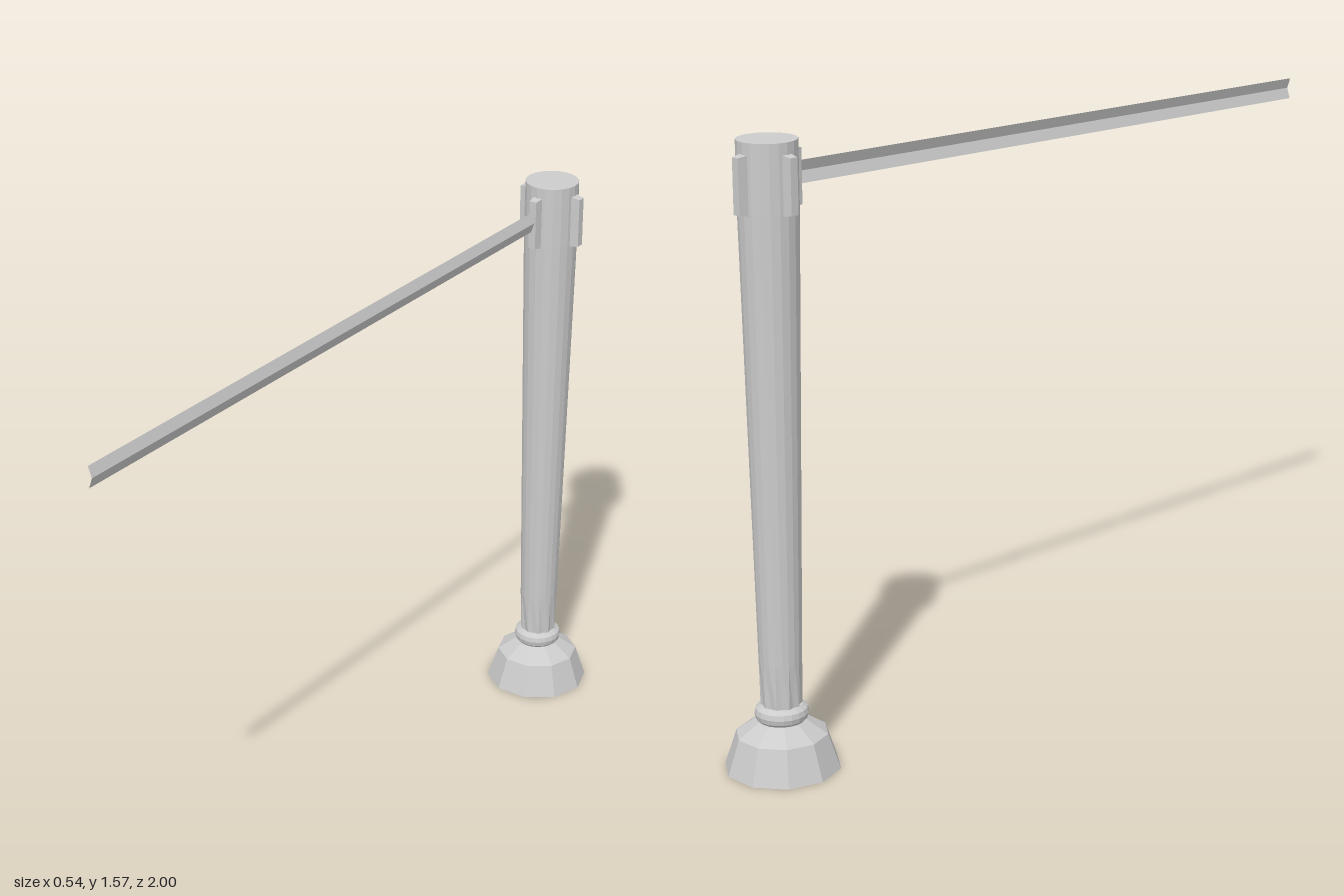
import * as THREE from 'three';

export function createModel() {
  const model = new THREE.Group();
  model.name = 'barrierPost';
  const mat = new THREE.MeshStandardMaterial({ color: 0xcccccc, flatShading: true });
  const thin = new THREE.MeshStandardMaterial({ color: 0xcccccc, side: THREE.DoubleSide, flatShading: true });

  // Everything hangs on the post axis; local +z points along the belt
  const post = new THREE.Group();
  post.name = 'post';
  post.position.set(0.125, 0, -0.857);
  post.rotation.y = -THREE.MathUtils.degToRad(12);
  model.add(post);

  const add = (name, geometry, material = mat) => {
    const mesh = new THREE.Mesh(geometry, material);
    mesh.name = name;
    post.add(mesh);
    return mesh;
  };
  const lathe = (profile, sides) =>
    new THREE.LatheGeometry(profile.map(([r, y]) => new THREE.Vector2(r, y)), sides);

  // Ten-sided weighted foot
  const base = add('base', lathe([[0, 0], [0.145, 0], [0.115, 0.09], [0.062, 0.125], [0, 0.125]], 10));
  base.rotation.y = THREE.MathUtils.degToRad(19);

  // Rounded collar above the foot
  add('collar', lathe([[0.054, 0.12], [0.064, 0.131], [0.067, 0.144], [0.064, 0.157], [0.052, 0.166], [0, 0.166]], 20));

  // Tapered shaft and head, with shallow flutes that fade out above the collar
  const shaft = lathe([[0.051, 0.15], [0.053, 0.28], [0.073, 1.4], [0.073, 1.565], [0, 1.565]], 20);
  const p = shaft.attributes.position;
  for (let i = 0; i < p.count; i++) {
    const column = Math.floor(i / 5);
    if (p.getY(i) < 0.2 && column % 2) {
      p.setX(i, p.getX(i) * 0.88);
      p.setZ(i, p.getZ(i) * 0.88);
    }
  }
  add('shaft', shaft);

  // Four belt clips, narrowed towards the outer face
  for (let k = 0; k < 4; k++) {
    const clip = new THREE.BoxGeometry(0.03, 0.145, 0.032);
    const c = clip.attributes.position;
    for (let i = 0; i < c.count; i++) {
      if (c.getZ(i) > 0) {
        c.setX(i, c.getX(i) * 0.7);
        c.setY(i, c.getY(i) * 0.93);
      }
    }
    clip.translate(0, 1.465, 0.079);
    clip.rotateY(k * Math.PI / 2);
    add('beltClip', clip);
  }

  // Long belt, creased along its middle and sagging slightly to its free end
  const section = [[0, 0.028], [0.01, 0], [0, -0.028]];
  const verts = [];
  for (const [z, y] of [[0.085, 1.473], [1.898, 1.448]])
    for (const [dx, dy] of section) verts.push(dx - 0.003, y + dy, z);
  const belt = new THREE.BufferGeometry();
  belt.setAttribute('position', new THREE.Float32BufferAttribute(verts, 3));
  belt.setIndex([0, 1, 4, 0, 4, 3, 1, 2, 5, 1, 5, 4]);
  belt.computeVertexNormals();
  add('belt', belt, thin);

  return model;
}
